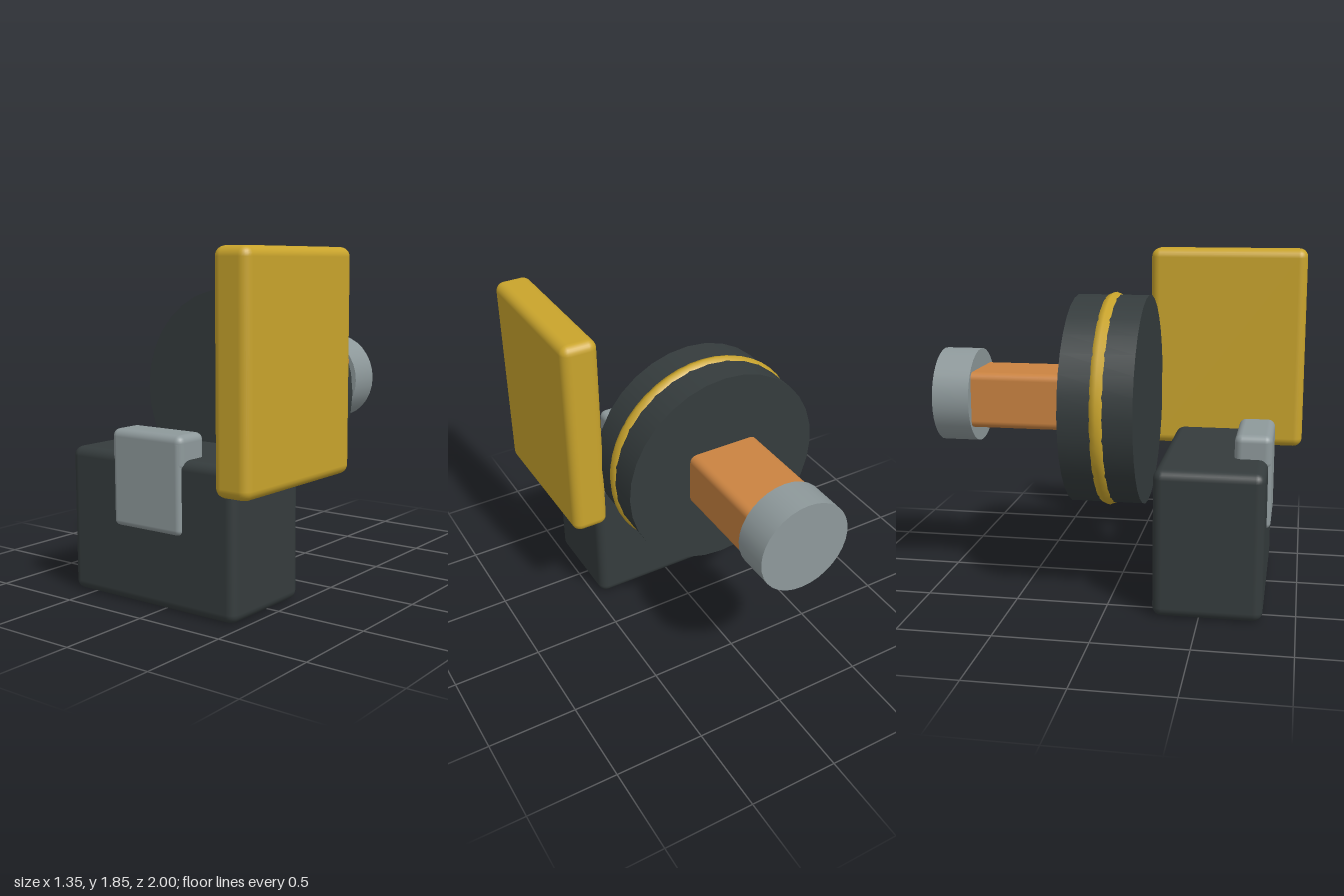
import * as THREE from 'three';
import { RoundedBoxGeometry } from 'three/addons/geometries/RoundedBoxGeometry.js';

export function createModel() {
  const model = new THREE.Group();
  model.name = 'machine';

  const material = (name, color) => {
    const m = new THREE.MeshStandardMaterial({ color });
    m.name = name;
    return m;
  };
  const dark = material('charcoal', 0x353c3d);
  const gold = material('gold', 0xc9a42c);
  const copper = material('copper', 0xca8341);
  const steel = material('steel', 0x8e999b);

  const add = (name, geometry, mat) => {
    const mesh = new THREE.Mesh(geometry, mat);
    mesh.name = name;
    model.add(mesh);
    return mesh;
  };
  // Rounded box given by its minimum and maximum corners
  const box = (name, mat, [x0, y0, z0], [x1, y1, z1], radius) => {
    const g = new RoundedBoxGeometry(x1 - x0, y1 - y0, z1 - z0, 3, radius);
    g.translate((x0 + x1) / 2, (y0 + y1) / 2, (z0 + z1) / 2);
    return add(name, g, mat);
  };
  // Everything round shares one axis along z
  const axisX = -0.09, axisY = 1.05;
  const disc = (name, mat, radius, z0, z1) => {
    const g = new THREE.CylinderGeometry(radius, radius, z1 - z0, 32);
    g.rotateX(Math.PI / 2);
    g.translate(axisX, axisY, (z0 + z1) / 2);
    return add(name, g, mat);
  };

  // Body block with its latch: a cap over the top edge and a front plate
  box('body', dark, [-0.635, 0, 0.255], [0.46, 0.79, 0.83], 0.05);
  box('latchCap', steel, [-0.322, 0.73, 0.65], [0.147, 0.917, 0.85], 0.04);
  box('latchPlate', steel, [-0.313, 0.405, 0.75], [0.14, 0.9, 0.85], 0.03);

  // Side panel
  box('sidePanel', gold, [0.465, 0.675, 0.088], [0.67, 1.845, 1], 0.05);

  // Wheel with a bead around its rim
  disc('wheel', dark, 0.575, -0.23, 0.16);
  const bead = new THREE.TorusGeometry(0.541, 0.047, 8, 48);
  bead.translate(axisX, axisY, -0.03);
  add('rimBead', bead, gold);

  // Shaft and end knob
  box('shaft', copper, [-0.296, 0.897, -0.87], [0.12, 1.205, -0.14], 0.04);
  disc('knob', steel, 0.26, -1, -0.795);

  return model;
}
